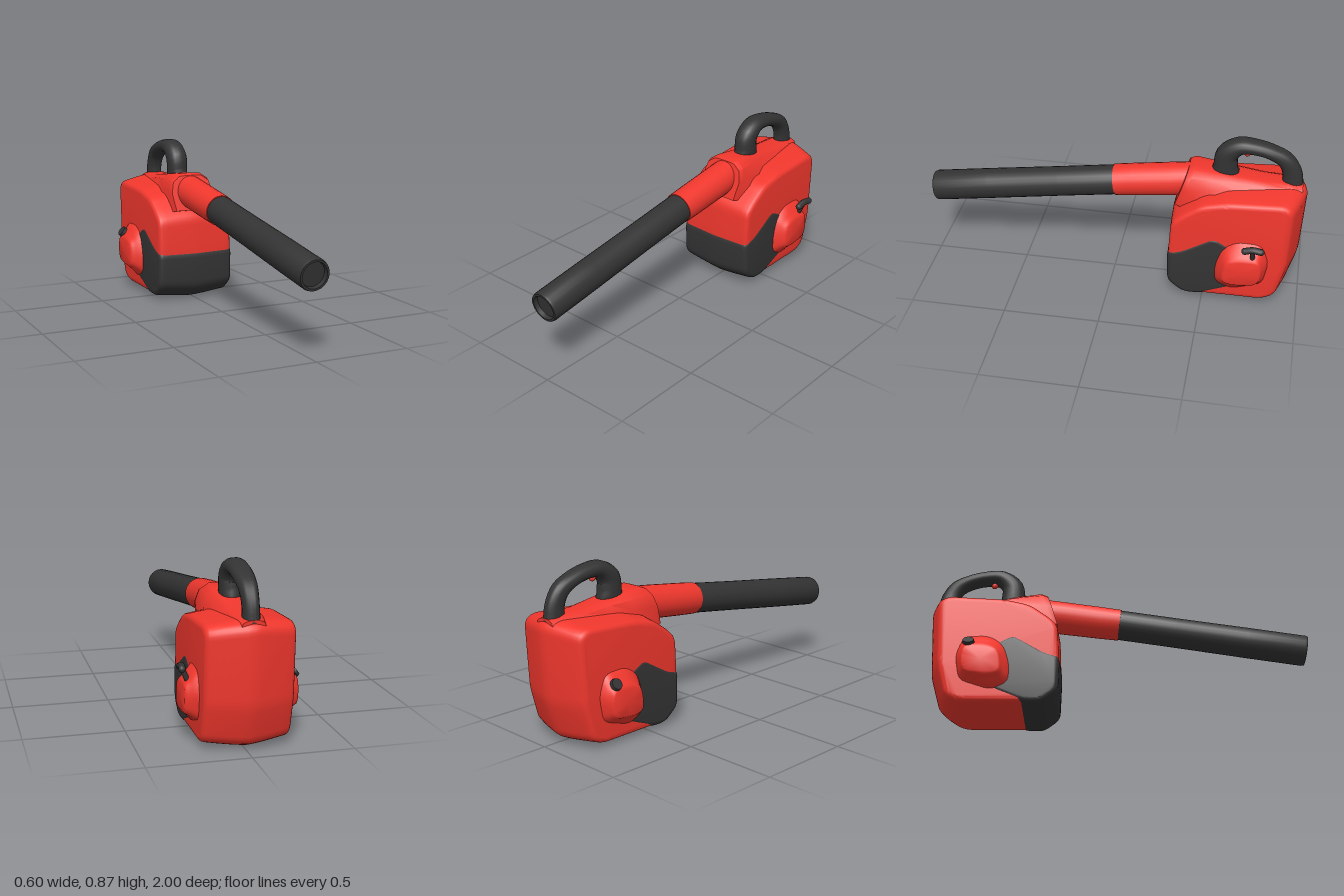
import * as THREE from 'three';
import { toCreasedNormals, mergeVertices } from 'three/addons/utils/BufferGeometryUtils.js';

const red = new THREE.MeshStandardMaterial({ color: 0xf0372d, side: THREE.DoubleSide });
const dark = new THREE.MeshStandardMaterial({ color: 0x333333, side: THREE.DoubleSide });
const V = (x, y, z) => new THREE.Vector3(x, y, z);

function part(name, geometry, material) {
  const m = new THREE.Mesh(geometry, material);
  m.name = name;
  return m;
}

// Skin between equal-sized rings of Vector3, with closed ends; winding is set to face outward
function loft(rings, crease) {
  const n = rings[0].length, pts = rings.flat(), idx = [];
  for (let i = 0; i < rings.length - 1; i++) {
    for (let j = 0; j < n; j++) {
      const a = i * n + j, b = i * n + (j + 1) % n;
      idx.push(a, b, b + n, a, b + n, a + n);
    }
  }
  [0, rings.length - 1].forEach((r, end) => {
    const mid = rings[r].reduce((s, p) => s.add(p), V(0, 0, 0)).divideScalar(n);
    const c = pts.push(mid) - 1;
    for (let j = 0; j < n; j++) {
      const a = r * n + j, b = r * n + (j + 1) % n;
      idx.push(...(end ? [c, a, b] : [c, b, a]));
    }
  });
  let volume = 0;
  for (let i = 0; i < idx.length; i += 3) {
    volume += pts[idx[i]].dot(V(0, 0, 0).crossVectors(pts[idx[i + 1]], pts[idx[i + 2]]));
  }
  if (volume < 0) idx.reverse();
  const g = new THREE.BufferGeometry().setFromPoints(pts);
  g.setIndex(idx);
  return toCreasedNormals(g, crease);
}

// Polygon of [-z, y] corners, each softened by a short curve
function roundedShape(corners, radius) {
  const s = new THREE.Shape(), n = corners.length;
  const P = corners.map(c => new THREE.Vector2(...c));
  P.forEach((p, i) => {
    const toward = q => {
      const d = q.clone().sub(p);
      return p.clone().add(d.setLength(Math.min(radius, d.length() * 0.45)));
    };
    const a = toward(P[(i + n - 1) % n]), b = toward(P[(i + 1) % n]);
    if (i) s.lineTo(a.x, a.y); else s.moveTo(a.x, a.y);
    s.quadraticCurveTo(p.x, p.y, b.x, b.y);
  });
  s.closePath();
  return s;
}

// Side profile extruded across the width, then swollen toward the centre line
function housing(corners, halfWidth) {
  const bevel = 0.022;
  const g = new THREE.ExtrudeGeometry(roundedShape(corners, 0.035), {
    depth: 2 * (halfWidth - bevel), steps: 12, curveSegments: 4,
    bevelSize: bevel, bevelThickness: bevel, bevelOffset: -bevel, bevelSegments: 4,
  });
  g.translate(0, 0, bevel - halfWidth).rotateY(Math.PI / 2);
  const p = g.attributes.position;
  for (let i = 0; i < p.count; i++) {
    const x = p.getX(i), y = p.getY(i), z = p.getZ(i);
    const t = Math.max(0, 1 - (Math.abs(x) / 0.217) ** 1.3);
    p.setY(i, y + t * (y > 0.3 ? 0.032 : 0.024) * (y - 0.3) / 0.3);
    p.setZ(i, z + t * (z < -0.62 ? 0.065 : 0.01) * (z + 0.62) / 0.32);
  }
  g.deleteAttribute('normal');
  g.deleteAttribute('uv');
  return toCreasedNormals(mergeVertices(g, 1e-4), 0.7);
}

// Turned part whose axis runs forward with a slight droop
function turned(profile, y, droop) {
  const g = new THREE.LatheGeometry(profile.map(p => new THREE.Vector2(...p)), 24);
  return toCreasedNormals(g.rotateX(Math.PI / 2 + droop).translate(0, y, 0), 0.7);
}

function rod(a, b, r) {
  const d = b.clone().sub(a);
  const g = new THREE.CapsuleGeometry(r, d.length(), 5, 12);
  g.applyQuaternion(new THREE.Quaternion().setFromUnitVectors(V(0, 1, 0), d.normalize()));
  const m = a.clone().add(b).multiplyScalar(0.5);
  return g.translate(m.x, m.y, m.z);
}

// Ridge on top: sections of [z, top, half width, base y, base half width, forward lean]
function shroud() {
  const sections = [
    [-0.39, 0.692, 0.122, 0.505, 0.108, 0.32], [-0.42, 0.703, 0.127, 0.50, 0.118, 0.33],
    [-0.53, 0.69, 0.116, 0.52, 0.14, 0.2], [-0.64, 0.673, 0.1, 0.55, 0.165, 0],
    [-0.78, 0.654, 0.088, 0.56, 0.175, 0], [-0.90, 0.652, 0.075, 0.565, 0.165, 0],
    [-0.975, 0.64, 0.06, 0.565, 0.11, 0],
  ];
  return loft(sections.map(([z, top, w, base, bw, lean]) => {
    const h = top - base;
    const half = [[w * 0.25, top], [w * 0.53, top - 0.002], [w * 0.87, top - h * 0.16],
      [w, top - h * 0.48], [bw, base]];
    const ring = [...half, ...half.map(([x, y]) => [-x, y]).reverse()];
    return ring.map(([x, y]) => V(x, y, z + (top - y) * lean));
  }), 0.8);
}

// Carrying handle: oval section swept along an arch
function handle() {
  const path = new THREE.CatmullRomCurve3([[-0.574, 0.62], [-0.574, 0.70], [-0.58, 0.77],
    [-0.64, 0.823], [-0.72, 0.825], [-0.81, 0.802], [-0.878, 0.762], [-0.912, 0.70], [-0.922, 0.62]]
    .map(([z, y]) => V(0, y, z)));
  const size = new THREE.CatmullRomCurve3([[0.056, 0.063], [0.056, 0.063], [0.057, 0.058],
    [0.056, 0.043], [0.053, 0.037], [0.05, 0.037], [0.044, 0.044], [0.04, 0.05], [0.042, 0.055]]
    .map(([w, h]) => V(w, h, 0)));
  const rings = [];
  for (let i = 0; i <= 32; i++) {
    const c = path.getPoint(i / 32), t = path.getTangent(i / 32), s = size.getPoint(i / 32);
    rings.push(Array.from({ length: 18 }, (_, j) => {
      const a = j / 18 * Math.PI * 2, soft = v => Math.sign(v) * Math.abs(v) ** 0.92;
      const u = s.x * soft(Math.cos(a)), v = s.y * soft(Math.sin(a));
      return V(u, c.y + t.z * v, c.z - t.y * v);
    }));
  }
  return loft(rings, 0.8);
}

// Raised side cover, tapering to a flat outer face
function sideCover(side) {
  const base = [[0.56, 0.23], [0.595, 0.335], [0.67, 0.385], [0.80, 0.38],
    [0.84, 0.27], [0.815, 0.135], [0.65, 0.08], [0.56, 0.12]];
  const face = [[0.605, 0.22], [0.62, 0.285], [0.68, 0.31], [0.79, 0.31],
    [0.805, 0.24], [0.79, 0.16], [0.66, 0.145], [0.605, 0.16]];
  // mix = base to face; steps ease the outer rim
  const steps = [[0.2, -0.05], [0.219, 0.08], [0.245, 0.58], [0.264, 0.88], [0.274, 1.02], [0.278, 1.2]];
  const outlines = [base, face].map(o => roundedShape(o, 0.04).getSpacedPoints(48).slice(0, 48));
  return loft(steps.map(([x, mix]) => outlines[0].map((p, i) => {
    const q = p.clone().lerp(outlines[1][i], mix);
    return V(side * x, q.y, -q.x);
  })), 0.8);
}

export function createModel() {
  const model = new THREE.Group();
  model.name = 'leafBlower';
  model.position.x = -0.008;

  // Motor housing and its dark front panel
  model.add(part('housing', housing([[0.316, 0.27], [0.325, 0.45], [0.37, 0.495], [0.47, 0.565],
    [0.60, 0.595], [0.89, 0.61], [0.938, 0.58], [0.922, 0.24], [0.875, 0.06],
    [0.81, 0.027], [0.40, 0.027], [0.32, 0.09]], 0.217), red));
  model.add(part('frontPanel', housing([[0.311, 0.278], [0.315, 0.088], [0.398, 0.022],
    [0.49, 0.022], [0.66, 0.09], [0.68, 0.30], [0.63, 0.35], [0.55, 0.395], [0.38, 0.295]], 0.22), dark));
  model.add(part('topShroud', shroud(), red));

  // Blower tube in two lengths, open at the nozzle
  model.add(part('tubeCollar', turned([[0.06, -0.42], [0.087, -0.42], [0.087, -0.3], [0.085, -0.1],
    [0.083, 0], [0.07, 0]], 0.552, 0.128), red));
  model.add(part('nozzleTube', turned([[0.074, -0.05], [0.079, 0], [0.079, 0.3], [0.081, 0.69], [0.081, 0.985],
    [0.077, 0.998], [0.066, 0.998], [0.063, 0.975], [0, 0.975]], 0.552, 0.146), dark));

  // Handle and throttle trigger
  model.add(part('handle', handle(), dark));
  model.add(part('trigger', rod(V(0, 0.80, -0.668), V(0, 0.783, -0.68), 0.016), red));

  // Side covers
  model.add(part('leftCover', sideCover(1), red), part('rightCover', sideCover(-1), red));

  // Starter pull on the left
  const starter = new THREE.Group();
  starter.name = 'starterPull';
  starter.add(part('stem', rod(V(0.243, 0.29, -0.755), V(0.283, 0.38, -0.755), 0.013), dark));
  const grip = new THREE.CatmullRomCurve3([V(0.282, 0.376, -0.715), V(0.285, 0.388, -0.755), V(0.291, 0.386, -0.797)]);
  starter.add(part('grip', new THREE.TubeGeometry(grip, 12, 0.018, 10), dark));
  for (const t of [0, 1]) {
    const p = grip.getPoint(t);
    starter.add(part('gripEnd', new THREE.SphereGeometry(0.018, 10, 8).translate(p.x, p.y, p.z), dark));
  }
  model.add(starter);

  // Fuel cap on the right, tilted up and out
  const cap = new THREE.Group();
  cap.name = 'fuelCap';
  cap.add(part('capNeck', new THREE.CylinderGeometry(0.018, 0.018, 0.05, 16).translate(0, -0.025, 0), dark));
  cap.add(part('capDisc', new THREE.CylinderGeometry(0.028, 0.031, 0.016, 20), dark));
  cap.position.set(-0.265, 0.33, -0.77);
  cap.rotation.z = 0.95;
  model.add(cap);
  return model;
}
